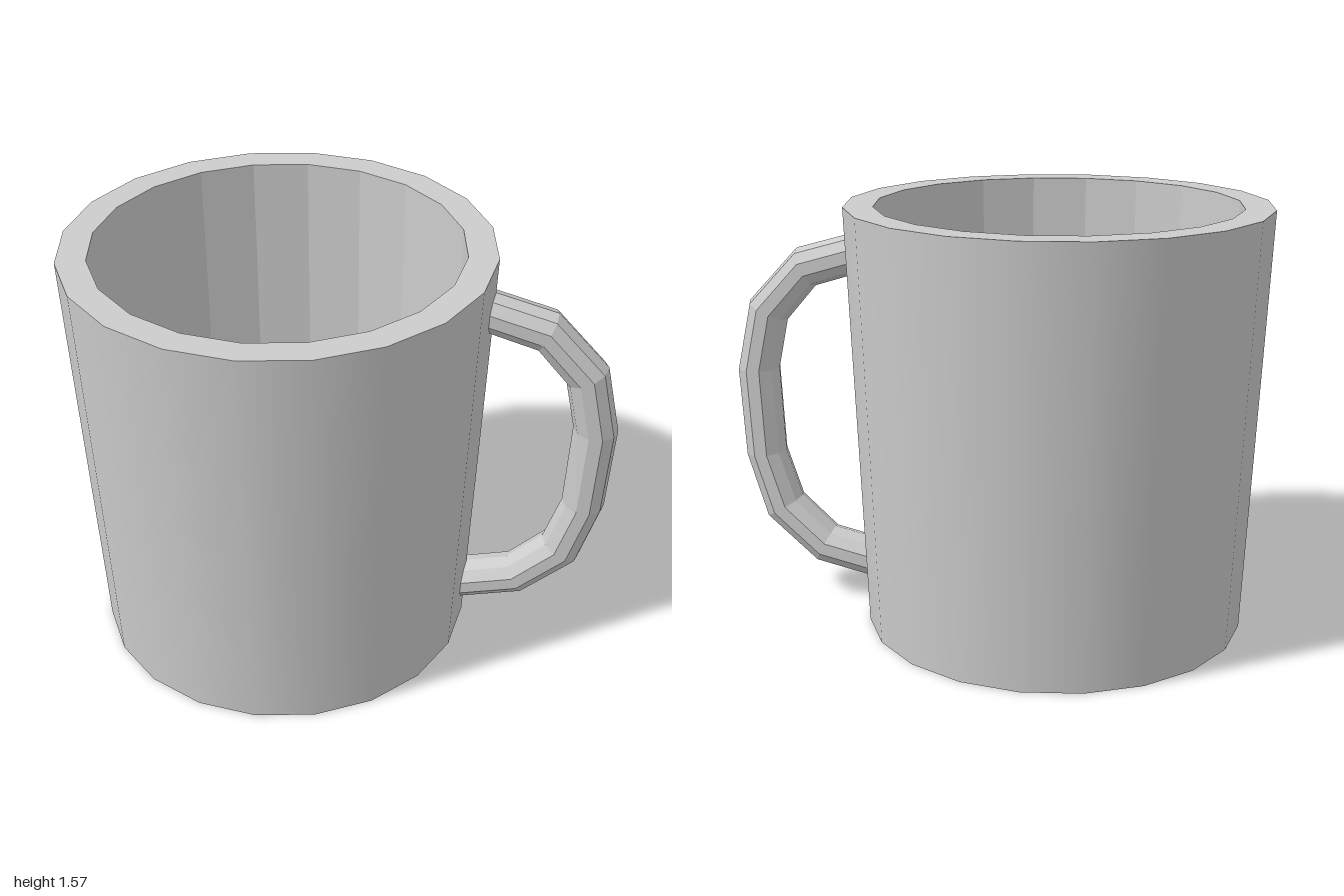
import * as THREE from 'three';

const SIDES = 20;
const CUP_X = -0.235;

// One band of the cup, revolved from a short profile of [radius, height] points
function band(name, profile, flatShading) {
  const points = profile.map(([r, y]) => new THREE.Vector2(r, y));
  const material = new THREE.MeshStandardMaterial({ color: 0xcccccc, flatShading });
  const mesh = new THREE.Mesh(new THREE.LatheGeometry(points, SIDES), material);
  mesh.name = name;
  mesh.position.x = CUP_X;
  return mesh;
}

// Handle swept through mitred rings, each given by its outer and inner edge point
function handleGeometry(rings, sides, halfDepth) {
  const positions = [];
  const index = [];
  rings.forEach(([ox, oy, ix, iy], i) => {
    for (let j = 0; j < sides; j++) {
      const a = (j / sides) * Math.PI * 2;
      const c = Math.cos(a);
      positions.push(
        (ox + ix) / 2 + ((ox - ix) / 2) * c,
        (oy + iy) / 2 + ((oy - iy) / 2) * c,
        halfDepth * Math.sin(a)
      );
      if (i === rings.length - 1) continue;
      const k = (j + 1) % sides;
      const p = i * sides + j, q = i * sides + k;
      index.push(p, q, p + sides, q, q + sides, p + sides);
    }
  });
  const geometry = new THREE.BufferGeometry();
  geometry.setAttribute('position', new THREE.Float32BufferAttribute(positions, 3));
  geometry.setIndex(index);
  geometry.computeVertexNormals();
  return geometry;
}

export function createModel() {
  const mug = new THREE.Group();
  mug.name = 'mug';

  // Tapered cup: smooth outside, thick flat rim, faceted inside
  mug.add(
    band('base', [[0, 0], [0.703, 0]], true),
    band('outerWall', [[0.703, 0], [0.767, 1.57]], false),
    band('rim', [[0.767, 1.57], [0.66, 1.57]], true),
    band('innerWall', [[0.66, 1.57], [0.645, 0.1]], true),
    band('floor', [[0.645, 0.1], [0, 0.1]], true)
  );

  // Faceted handle, both ends sunk into the wall
  const rings = [
    [0.48, 1.453, 0.46, 1.305],
    [0.75, 1.375, 0.68, 1.235],
    [0.94, 1.17, 0.795, 1.10],
    [0.997, 0.905, 0.835, 0.91],
    [0.977, 0.567, 0.82, 0.58],
    [0.90, 0.315, 0.76, 0.40],
    [0.70, 0.14, 0.63, 0.28],
    [0.45, 0.085, 0.44, 0.237],
  ];
  const handle = new THREE.Mesh(
    handleGeometry(rings, 10, 0.083),
    new THREE.MeshStandardMaterial({ color: 0xcccccc, flatShading: true, side: THREE.DoubleSide })
  );
  handle.name = 'handle';
  mug.add(handle);

  return mug;
}
